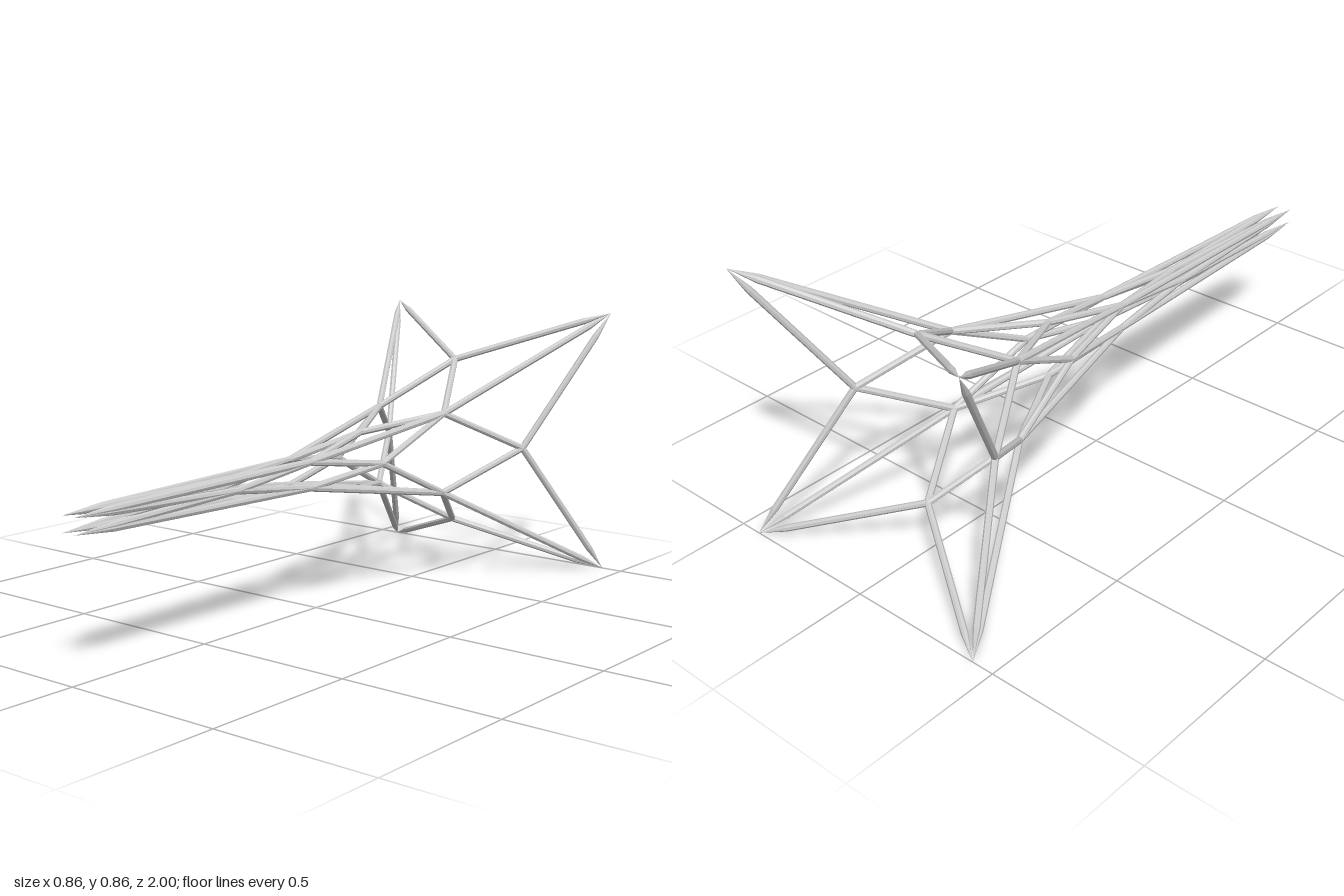
import * as THREE from 'three';

const MID_Y = 0.43;
const STRUT_RADIUS = 0.0105;

// Each ring has four nodes; rings alternate between the diagonals and the axes.
// [distance from centre line, z]
const RINGS = [
  [0.43 * Math.SQRT2, -1.0],
  [0.272, -0.73],
  [0.129 * Math.SQRT2, -0.485],
  [0.089, -0.215],
  [0.039 * Math.SQRT2, 0.075],
  [0.03, 0.39],
  [0.023 * Math.SQRT2, 1.0],
];
const LAST = RINGS.length - 1;

function node(ring, i) {
  const [r, z] = RINGS[ring];
  const a = (i + (ring % 2 === 0 ? 0.5 : 0)) * Math.PI / 2;
  return new THREE.Vector3(r * Math.cos(a), MID_Y + r * Math.sin(a), z);
}

// Length over which a strut narrows to a point at a node of this ring
function taper(ring) {
  if (ring === 0) return 0.09;
  return ring === LAST ? 0.14 : 0.004;
}

// Faceted rod whose ends narrow to a point at the node
function strut(a, b, taperA, taperB, material, name) {
  const length = a.distanceTo(b);
  const profile = [
    new THREE.Vector2(0, 0),
    new THREE.Vector2(STRUT_RADIUS, taperA),
    new THREE.Vector2(STRUT_RADIUS, length - taperB),
    new THREE.Vector2(0, length),
  ];
  const mesh = new THREE.Mesh(new THREE.LatheGeometry(profile, 8), material);
  mesh.name = name;
  mesh.position.copy(a);
  mesh.quaternion.setFromUnitVectors(
    new THREE.Vector3(0, 1, 0), b.clone().sub(a).normalize());
  return mesh;
}

export function createModel() {
  const group = new THREE.Group();
  group.name = 'latticeHorn';
  const metal = new THREE.MeshStandardMaterial({ color: 0xcccccc, flatShading: true });
  metal.name = 'light grey';

  const add = (r0, i, r1, j, name) => group.add(
    strut(node(r0, i), node(r1, j), taper(r0), taper(r1), metal, name));

  for (let ring = 0; ring < LAST; ring++) {
    for (let i = 0; i < 4; i++) {
      // Zigzag struts to the two nearest nodes of the next ring
      add(ring, i, ring + 1, i, 'zigzagStrut');
      add(ring, i, ring + 1, ring % 2 === 0 ? i + 1 : i + 3, 'zigzagStrut');
      // Long ribs joining the diagonal rings
      if (ring % 2 === 0) add(ring, i, ring + 2, i, 'diagonalRib');
    }
  }

  // Small joints closing the inner nodes
  const jointGeometry = new THREE.IcosahedronGeometry(STRUT_RADIUS, 1);
  for (let ring = 1; ring < LAST; ring++) {
    for (let i = 0; i < 4; i++) {
      const joint = new THREE.Mesh(jointGeometry, metal);
      joint.name = 'joint';
      joint.position.copy(node(ring, i));
      group.add(joint);
    }
  }
  return group;
}
